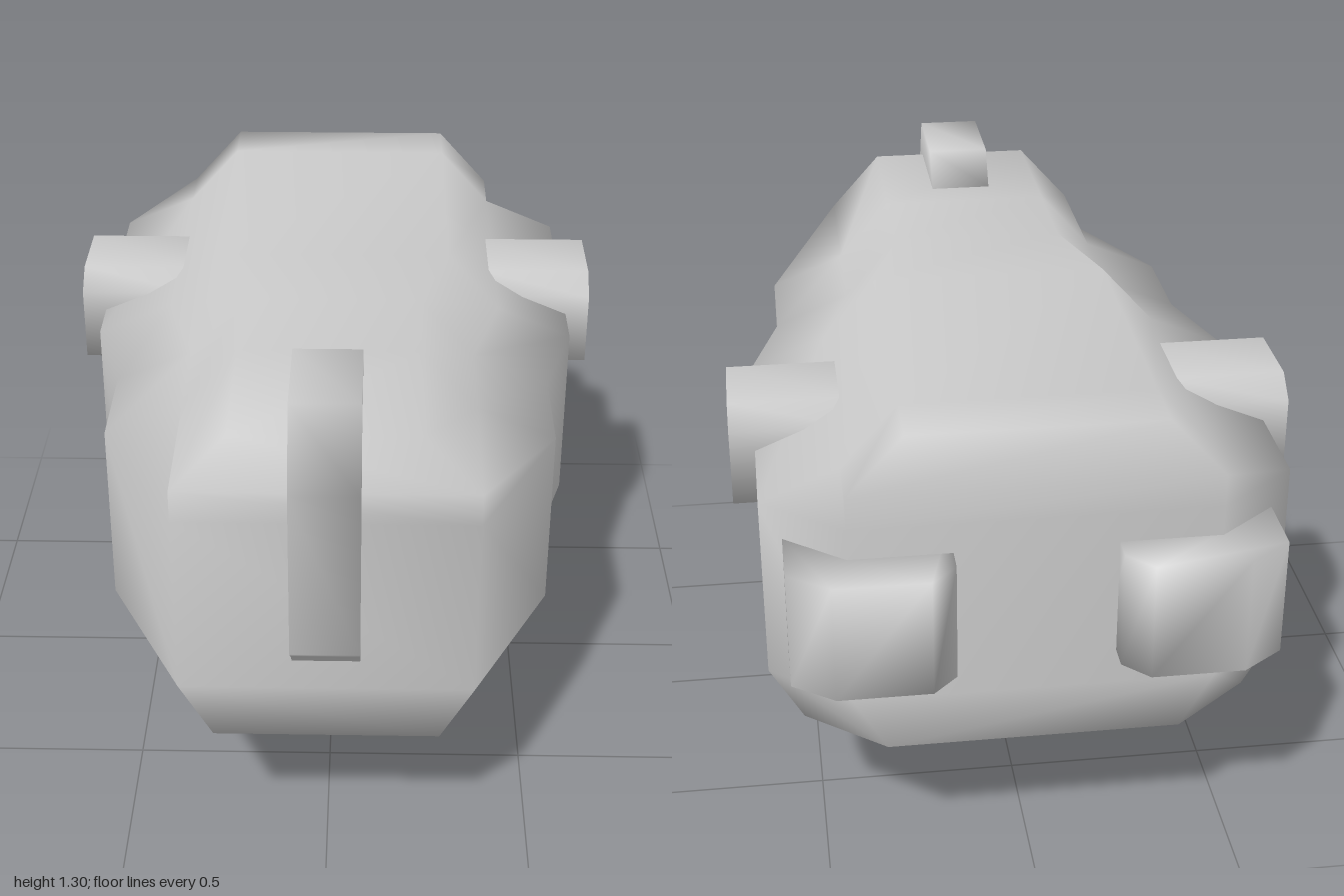
import * as THREE from 'three';

const solid = new THREE.MeshStandardMaterial({ color: 0xcccccc });
const thin = new THREE.MeshStandardMaterial({ color: 0xcccccc, side: THREE.DoubleSide });

// Smooth skin through rings of points (counter-clockwise seen from the loft's far end)
function loft(name, rings, capped = true) {
  const n = rings[0].length, last = (rings.length - 1) * n, index = [];
  for (let j = 0; j < rings.length - 1; j++) {
    for (let i = 0; i < n; i++) {
      const a = j * n + i, b = j * n + (i + 1) % n;
      index.push(a, b, b + n, a, b + n, a + n);
    }
  }
  // Caps are ladders of quads between opposite ring points
  if (capped) {
    for (let i = 0; i < n / 2 - 1; i++) {
      const p = i, q = i + 1, r = n - 2 - i, s = n - 1 - i;
      index.push(last + p, last + q, last + r, last + p, last + r, last + s);
      index.push(p, r, q, p, s, r);
    }
  }
  const geometry = new THREE.BufferGeometry();
  geometry.setAttribute('position', new THREE.Float32BufferAttribute(rings.flat(2), 3));
  geometry.setIndex(index);
  geometry.computeVertexNormals();
  const mesh = new THREE.Mesh(geometry, capped ? solid : thin);
  mesh.name = name;
  return mesh;
}

// Half outline of the hull at z; each point is [half width, height]
function hullRing(z, half) {
  return [
    ...half.map(([x, y]) => [x, y, z]),
    ...half.slice().reverse().map(([x, y]) => [-x, y, z]),
  ];
}

function createHull() {
  const full = [[0.54, 0.38], [0.62, 0.52], [0.62, 0.98], [0.43, 1.06], [0.295, 1.21]];
  const waist = full.map(([x, y]) => [x - 0.077, y]);
  const tail = [[0.35, 0.38], [0.43, 0.52], [0.43, 0.98], [0.43, 1.06], [0.295, 1.21]];
  const nose = [[0.27, 0.38], [0.35, 0.52], [0.35, 0.98], [0.35, 1.06], [0.215, 1.21]];
  return loft('hull', [
    hullRing(-0.88, tail), hullRing(-0.73, full), hullRing(-0.03, full),
    hullRing(0.23, waist), hullRing(0.5, waist), hullRing(0.89, nose),
  ]);
}

export function createModel() {
  const model = new THREE.Group();
  model.name = 'model';
  model.add(createHull());

  // Crest over the nose, profile as [z, y]
  const crest = [[0.89, 0.6], [0.6, 0.9], [0.6, 1.21], [0.66, 1.3], [0.91, 1.3], [1, 1.12], [1, 0.7], [0.94, 0.65]];
  model.add(loft('noseCrest', [-0.08, 0.08].map((x) => crest.map(([z, y]) => [x, y, z]))));

  // Open neck below the hull, a square with cut corners
  const w = 0.31, c = 0.17;
  const neck = [[w, c], [w, -c], [c, -w], [-c, -w], [-w, -c], [-w, c], [-c, w], [c, w]];
  model.add(loft('neck', [0, 0.38].map((y) => neck.map(([x, z]) => [x, y, z + 0.08])), false));

  const pod = [[0.19, -0.765], [0.57, -0.765], [0.57, -0.93], [0.47, -1], [0.25, -1], [0.19, -0.94]];
  const arch = [[-0.16, 0.84], [-0.48, 0.84], [-0.48, 1.03], [-0.42, 1.08], [-0.22, 1.08], [-0.16, 1.03]];
  for (const side of [1, -1]) {
    const label = side > 0 ? 'left' : 'right';

    // Rear pod
    const outline = pod.map(([x, z]) => [x * side, z]);
    if (side < 0) outline.reverse();
    model.add(loft(label + 'RearPod', [0.61, 0.905].map((y) => outline.map(([x, z]) => [x, y, z]))));

    // Open arched side tube
    const span = side > 0 ? [0.38, 0.68] : [-0.68, -0.38];
    model.add(loft(label + 'SideTube', span.map((x) => arch.map(([z, y]) => [x, y, z])), false));
  }
  return model;
}
